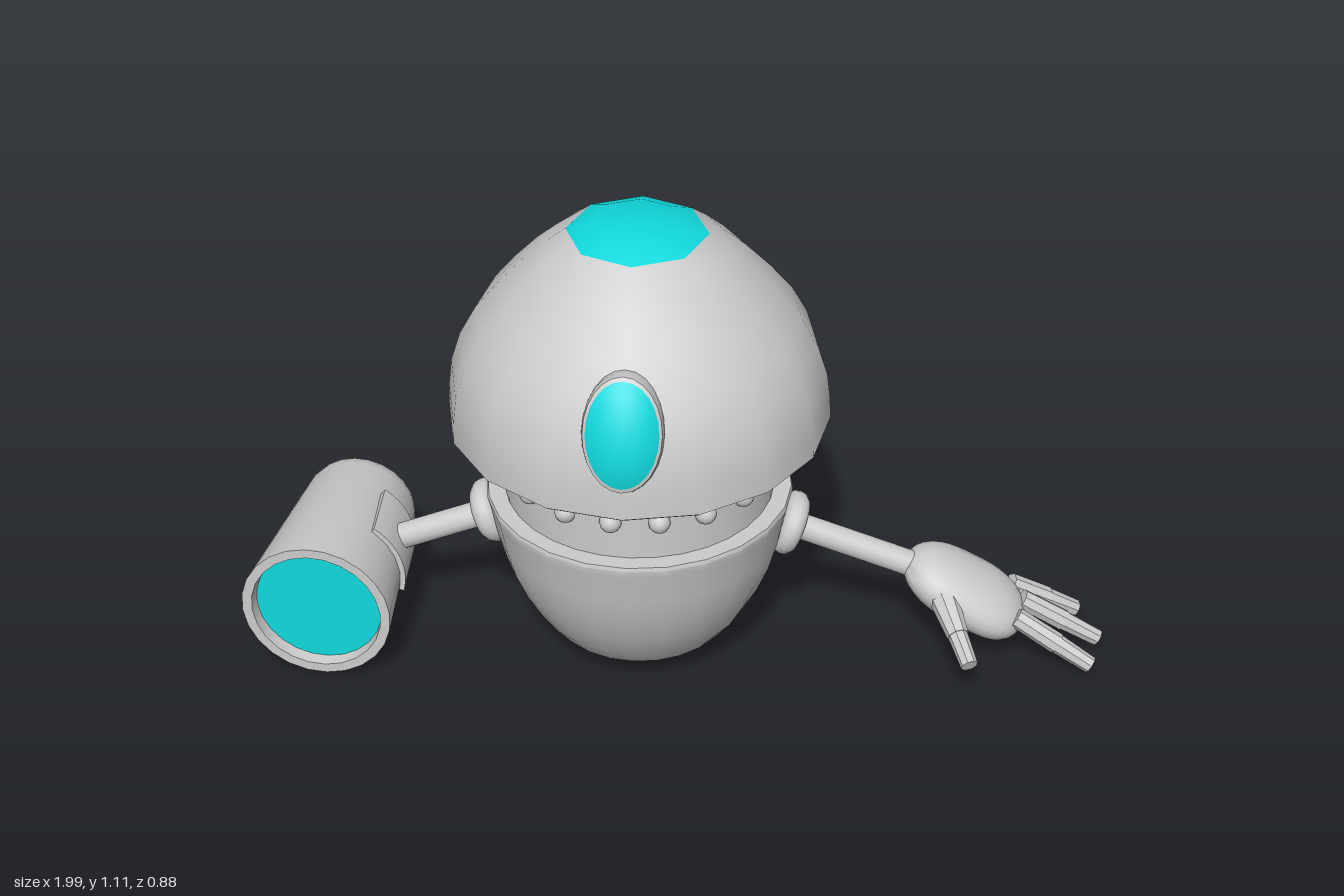
import * as THREE from 'three';
import { toCreasedNormals } from 'three/addons/utils/BufferGeometryUtils.js';

const CX = -0.094, CZ = -0.015; // body axis
const CAP = 0.157;              // radius of the eight-sided crown panel
const grey = new THREE.MeshStandardMaterial({ color: 0xcccccc });
const cyan = new THREE.MeshStandardMaterial({ color: 0x10d8dc });
const V = (x, y, z) => new THREE.Vector3(x, y, z);
const UP = V(0, 1, 0);

function add(parent, name, geometry, material = grey) {
  const mesh = new THREE.Mesh(geometry, material);
  mesh.name = name;
  parent.add(mesh);
  return mesh;
}

// Profiles run from bottom to top as [radius, height]
function lathe(points, sides = 32, rule) {
  const geo = new THREE.LatheGeometry(points.map(([r, y]) => new THREE.Vector2(r, y)), sides);
  if (rule) rule(geo.attributes.position);
  return toCreasedNormals(geo, 0.62);
}

// Tapered rod between two points
function rod(parent, name, a, b, ra, rb, sides) {
  const dir = b.clone().sub(a);
  const geo = toCreasedNormals(new THREE.CylinderGeometry(rb, ra, dir.length(), sides), sides > 8 ? 0.7 : 0.3);
  const mesh = add(parent, name, geo);
  mesh.position.copy(a).add(b).multiplyScalar(0.5);
  mesh.quaternion.setFromUnitVectors(UP, dir.normalize());
  return mesh;
}

// Pulls every second crown vertex in so the panel edge is an octagon
function octagonCrown(pos) {
  for (let i = 0; i < pos.count; i++) {
    const x = pos.getX(i), z = pos.getZ(i), r = Math.hypot(x, z);
    const step = Math.round(Math.atan2(x, z) / (Math.PI / 8));
    if (r < CAP + 0.001 && step % 2 !== 0) {
      pos.setX(i, x * Math.cos(Math.PI / 8));
      pos.setZ(i, z * Math.cos(Math.PI / 8));
    }
  }
}

function buildBody() {
  const body = new THREE.Group();
  body.name = 'body';
  body.position.set(CX, 0, CZ);

  add(body, 'headDome', lathe([
    [0.3, 0.612], [0.322, 0.612], [0.328, 0.622], [0.422, 0.622], [0.432, 0.63], [0.43, 0.68], [0.422, 0.745], [0.4, 0.815],
    [0.362, 0.885], [0.31, 0.95], [0.25, 1.015], [0.2, 1.06], [CAP, 1.093],
  ], 16, octagonCrown));
  add(body, 'crownPanel', lathe([[CAP, 1.093], [0.1, 1.117], [0, 1.121]], 16, octagonCrown), cyan);

  add(body, 'neck', lathe([[0.309, 0.42], [0.309, 0.62]]));
  const beads = 18;
  for (let i = 0; i < beads; i++) {
    const a = (13 + i * 360 / beads) * Math.PI / 180;
    const bead = add(body, 'neckBead', new THREE.SphereGeometry(0.025, 12, 8));
    bead.position.set(Math.sin(a) * 0.309, 0.535, Math.cos(a) * 0.309);
  }

  add(body, 'lowerBody', lathe([
    [0.125, 0.025], [0.165, 0.037], [0.21, 0.073], [0.25, 0.125], [0.285, 0.19], [0.313, 0.26],
    [0.333, 0.335], [0.346, 0.41], [0.352, 0.432], [0.349, 0.441], [0.3, 0.441],
  ], 24));
  add(body, 'basePanel', lathe([[0, 0.021], [0.125, 0.025]], 24), cyan);

  // Oval eye leaning back with the dome
  const eye = new THREE.Group();
  eye.name = 'eye';
  eye.position.set(0, 0.815, 0.365);
  eye.rotation.x = Math.PI / 2 - 0.32;
  eye.scale.set(0.67, 1, 1);
  body.add(eye);
  add(eye, 'eyeFrame', lathe([[0.13, -0.08], [0.132, 0.02], [0.127, 0.038], [0.118, 0.042]], 24));
  add(eye, 'eyeLens', lathe([[0.12, 0.04], [0.09, 0.056], [0.05, 0.066], [0, 0.07]], 24), cyan);
  return body;
}

function buildArm(side, end) {
  const arm = new THREE.Group();
  arm.name = side > 0 ? 'leftArm' : 'rightArm';
  const shoulder = V(CX + side * 0.33, 0.342, CZ);
  rod(arm, 'armRod', shoulder, end, 0.031, 0.031, 16);
  const ring = add(arm, 'shoulderRing', new THREE.TorusGeometry(0.049, 0.028, 12, 24));
  ring.position.set(CX + side * 0.348, 0.336, CZ);
  ring.quaternion.setFromUnitVectors(V(0, 0, 1), end.clone().sub(shoulder).normalize());
  return arm;
}

function buildHand() {
  const hand = new THREE.Group();
  hand.name = 'leftHand';

  // Blunt flattened palm, a little narrower at the wrist
  const geo = new THREE.SphereGeometry(1, 24, 20).rotateZ(-Math.PI / 2);
  const pos = geo.attributes.position;
  for (let i = 0; i < pos.count; i++) {
    const t = pos.getX(i);
    const s = Math.sqrt(Math.max(0, 1 - t * t));
    const k = s > 1e-4 ? Math.sqrt(Math.max(0, 1 - Math.abs(t) ** 3)) / s : 0;
    pos.setXYZ(i, t * 0.16, pos.getY(i) * k * 0.068, pos.getZ(i) * k * (0.114 + 0.012 * t));
  }
  const palm = add(hand, 'palm', toCreasedNormals(geo, 1));
  palm.position.set(0.664, 0.162, -0.02);
  palm.rotation.z = -0.53;

  // Two-segment digits: base and tip
  const digits = [
    ['finger', V(0.775, 0.135, -0.088), V(0.937, 0.034, -0.135), 0.024],
    ['finger', V(0.8, 0.135, -0.028), V(0.985, 0.026, -0.034), 0.024],
    ['finger', V(0.785, 0.135, 0.045), V(0.963, 0.034, 0.083), 0.024],
    ['thumb', V(0.615, 0.19, 0.06), V(0.676, 0.12, 0.215), 0.034],
  ];
  for (const [name, a, b, r] of digits) {
    const mid = a.clone().lerp(b, 0.55);
    rod(hand, name + 'Base', a, mid, r, 0.025, 8);
    rod(hand, name + 'Tip', mid, b, 0.023, 0.02, 8);
  }
  return hand;
}

function buildCannon() {
  const cannon = new THREE.Group();
  cannon.name = 'rightCannon';

  const barrel = new THREE.Group();
  barrel.name = 'barrel';
  barrel.position.set(-0.786, 0.187, -0.257);
  barrel.quaternion.setFromUnitVectors(UP, V(-0.08, 0, 1).normalize());
  cannon.add(barrel);
  add(barrel, 'barrelShell', lathe([
    [0, 0], [0.085, 0.001], [0.112, 0.01], [0.13, 0.028], [0.137, 0.055],
    [0.175, 0.468], [0.152, 0.468], [0.147, 0.435],
  ], 24));
  add(barrel, 'muzzlePanel', lathe([[0.149, 0.44], [0, 0.44]], 24), cyan);

  // Curved mounting plate hugging the barrel
  const a0 = -0.25, a1 = 0.92;
  const shape = new THREE.Shape();
  shape.absarc(0, 0, 0.167, a0, a1, false);
  shape.absarc(0, 0, 0.13, a1, a0, true);
  const plate = add(cannon, 'mountPlate', toCreasedNormals(
    new THREE.ExtrudeGeometry(shape, { depth: 0.16, bevelEnabled: false, curveSegments: 10 }), 0.5));
  plate.position.set(-0.806, 0.187, -0.1);
  return cannon;
}

export function createModel() {
  const model = new THREE.Group();
  model.name = 'robot';
  model.add(
    buildBody(),
    buildArm(1, V(0.59, 0.21, -0.02)),
    buildHand(),
    buildArm(-1, V(-0.67, 0.24, -0.02)),
    buildCannon(),
  );
  return model;
}
